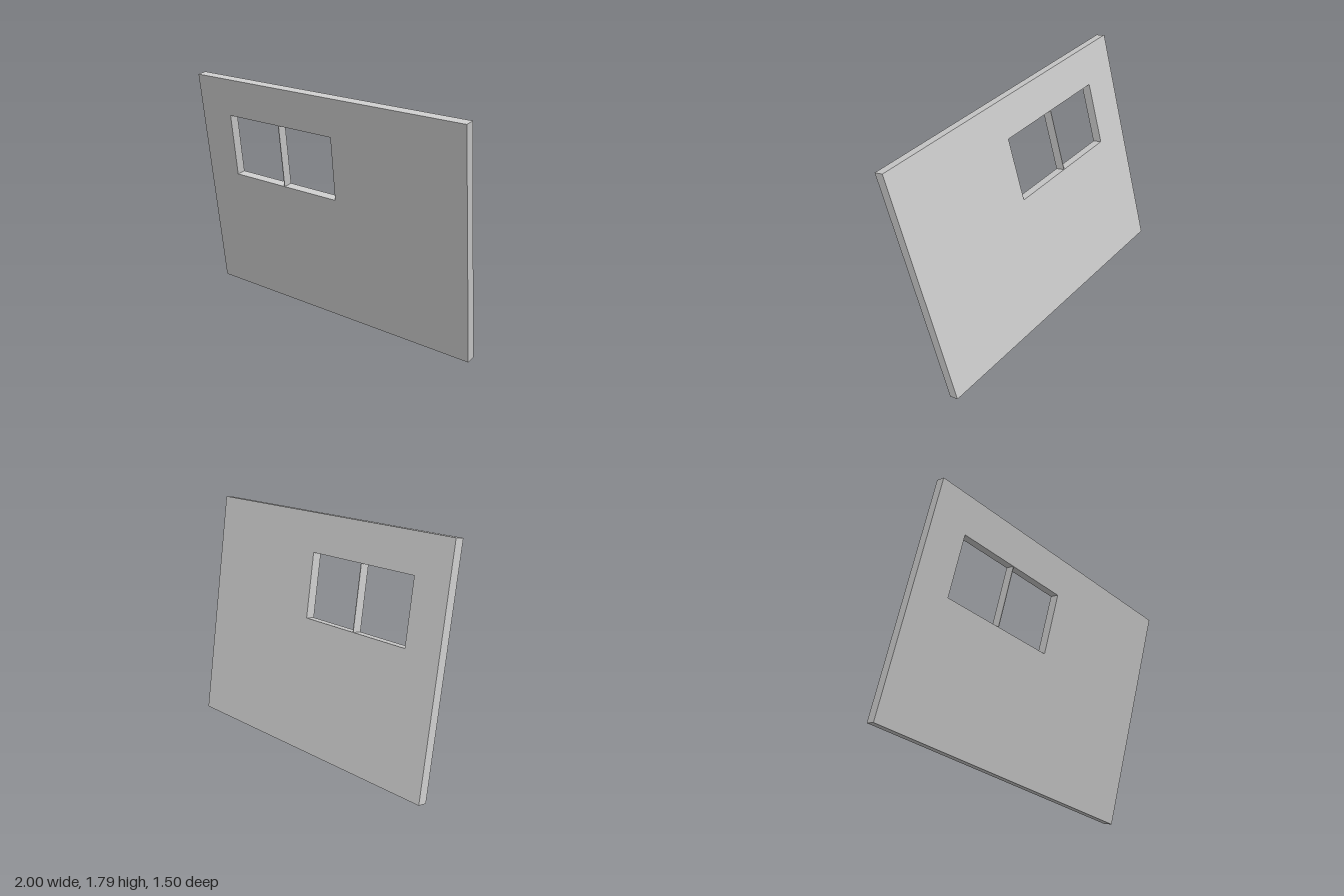
import * as THREE from 'three';

const W = 2.19, H = 1.644, T = 0.067;
// window opening, measured from the wall's lower left corner
const WIN = { x0: 0.273, x1: 1.175, y0: 0.925, y1: 1.377 };

function rectangle(path, x0, y0, x1, y1) {
  path.moveTo(x0, y0);
  path.lineTo(x1, y0);
  path.lineTo(x1, y1);
  path.lineTo(x0, y1);
  path.closePath();
  return path;
}

export function createModel() {
  const model = new THREE.Group();
  model.name = 'wallPanel';
  const material = new THREE.MeshStandardMaterial({ color: 0xcccccc, flatShading: true });

  // wall slab with a window opening
  const shape = rectangle(new THREE.Shape(), 0, 0, W, H);
  shape.holes.push(rectangle(new THREE.Path(), WIN.x0, WIN.y0, WIN.x1, WIN.y1));
  const wallGeometry = new THREE.ExtrudeGeometry(shape, { depth: T, bevelEnabled: false });
  wallGeometry.translate(-W / 2, -H / 2, -T / 2);
  const wall = new THREE.Mesh(wallGeometry, material);
  wall.name = 'wall';

  // thin upright divider in the middle of the opening
  const divider = new THREE.Mesh(new THREE.BoxGeometry(0.005, WIN.y1 - WIN.y0, T), material);
  divider.name = 'windowDivider';
  divider.position.set((WIN.x0 + WIN.x1) / 2 - W / 2, (WIN.y0 + WIN.y1) / 2 - H / 2, 0);

  // tilt the panel: width axis, outward normal, then the height axis square to both
  const across = new THREE.Vector3(1.905, -0.175, 1.065).normalize();
  const normal = across.clone().cross(new THREE.Vector3(-0.06, 1.6, 0.375)).normalize();
  const up = normal.clone().cross(across);
  const panel = new THREE.Group();
  panel.name = 'tiltedPanel';
  panel.quaternion.setFromRotationMatrix(new THREE.Matrix4().makeBasis(across, up, normal));
  panel.position.y = 0.895;
  panel.add(wall, divider);
  model.add(panel);
  return model;
}
